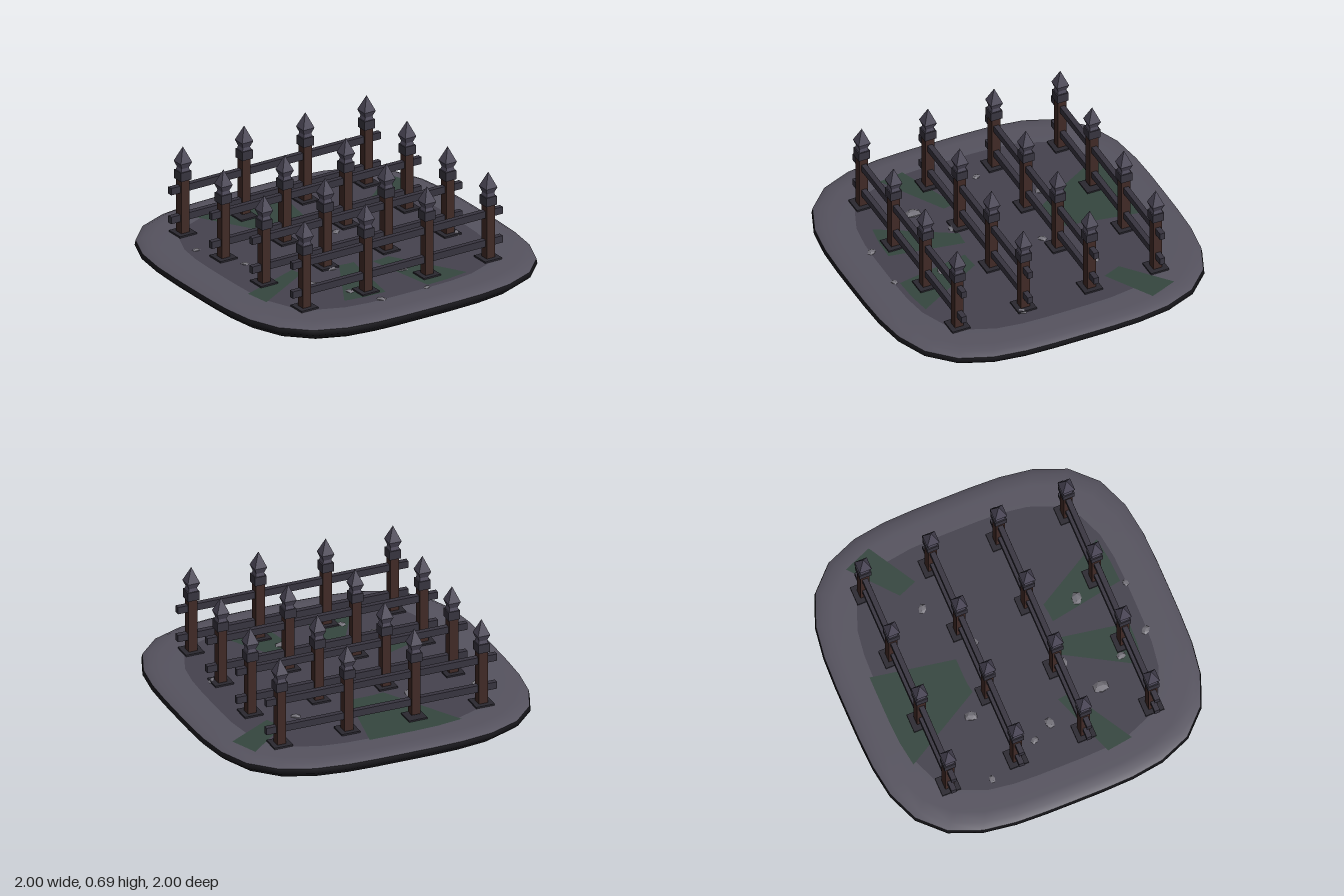
import * as THREE from 'three';
import { mergeVertices } from 'three/addons/utils/BufferGeometryUtils.js';

const GROUND = 0.122;
const mat = (color, flatShading = true) => new THREE.MeshStandardMaterial({ color, flatShading });

// Lathe whose round outline is pushed out to a rounded square
function squareLathe(profile, segments, start = 0, length = Math.PI * 2) {
  const geo = new THREE.LatheGeometry(profile.map(([r, y]) => new THREE.Vector2(r, y)), segments, start, length);
  const p = geo.attributes.position;
  const n = 3.6;
  for (let i = 0; i < p.count; i++) {
    const x = p.getX(i), z = p.getZ(i), r = Math.hypot(x, z);
    if (r < 1e-6) continue;
    const k = Math.pow(Math.abs(x / r) ** n + Math.abs(z / r) ** n, -1 / n);
    p.setXYZ(i, x * k, p.getY(i), z * k);
  }
  geo.deleteAttribute('uv');
  geo.deleteAttribute('normal');
  const merged = mergeVertices(geo, 1e-5);
  merged.computeVertexNormals();
  return merged;
}

export function createModel() {
  const model = new THREE.Group();
  const add = (parent, name, geo, material, x = 0, y = 0, z = 0) => {
    const mesh = new THREE.Mesh(geo, material);
    mesh.name = name;
    mesh.position.set(x, y, z);
    parent.add(mesh);
    return mesh;
  };

  // Ground slab: dark underside, paler rim, darker middle
  const slab = new THREE.Group();
  slab.name = 'groundSlab';
  model.add(slab);
  add(slab, 'slabUnderside', squareLathe([[0, 0], [0.9, 0], [0.955, 0.03], [1, 0.07], [0.995, 0.1]], 36), mat(0x1c1b20, false));
  add(slab, 'slabRim', squareLathe([[0.995, 0.1], [0.96, 0.118], [0.9, GROUND], [0.78, GROUND]], 36), mat(0x56535f, false));
  add(slab, 'slabTop', squareLathe([[0.78, GROUND], [0.4, GROUND], [0, GROUND]], 36), mat(0x45424e, false));

  // Moss streaks fanning out from the middle: start and width in degrees, inner and outer radius
  const moss = mat(0x35463f, false);
  const streaks = [[170, 40, 0.3, 0.8], [120, 10, 0.6, 0.9], [290, 10, 0.4, 0.8], [330, 20, 0.25, 0.7], [10, 20, 0.3, 0.75]];
  for (const [start, width, r0, r1] of streaks) {
    const rad = Math.PI / 180;
    add(slab, 'mossStreak', squareLathe([[r1, GROUND + 0.001], [r0, GROUND + 0.001]], width / 10, start * rad, width * rad), moss);
  }

  // Shared fence parts
  const iron = mat(0x37343f), dark = mat(0x2a2830), wood = mat(0x402a26), stone = mat(0x4b4757);
  const footGeo = new THREE.BoxGeometry(0.115, 0.02, 0.115);
  const postGeo = new THREE.BoxGeometry(0.055, 0.36, 0.055);
  const collarGeo = new THREE.BoxGeometry(0.072, 0.055, 0.072);
  const railGeo = new THREE.BoxGeometry(1.44, 0.043, 0.032);
  const spikeGeo = new THREE.LatheGeometry(
    [[0, 0], [0.042, 0], [0.035, 0.02], [0.054, 0.055], [0, 0.147]].map(([r, y]) => new THREE.Vector2(r, y)),
    4, Math.PI / 4);

  // Four fence rows of four spiked posts, of slightly uneven height
  for (let row = 0; row < 4; row++) {
    const fence = new THREE.Group();
    fence.name = 'fenceRow';
    fence.position.z = -0.635 + row * 0.42;
    model.add(fence);
    for (const y of [0.225, 0.405]) add(fence, 'rail', railGeo, iron, 0, y);

    for (let col = 0; col < 4; col++) {
      const lift = row === 0 && col === 1 ? 0.028 : ((row * 7 + col * 5) % 4) * 0.004;
      const post = new THREE.Group();
      post.name = 'fencePost';
      post.position.x = -0.63 + col * 0.42;
      fence.add(post);
      add(post, 'foot', footGeo, dark, 0, GROUND);
      add(post, 'post', postGeo, wood, 0, 0.3 + lift);
      add(post, 'collar', collarGeo, iron, 0, 0.488 + lift);
      add(post, 'spike', spikeGeo, stone, 0, 0.515 + lift);
    }
  }

  // Scattered pebbles: x, z, radius
  const pebble = mat(0x74727a);
  const pebbleGeo = new THREE.IcosahedronGeometry(1, 0);
  const pebbles = [
    [-0.7, -0.39, 0.025], [-0.3, -0.355, 0.04], [0.41, -0.36, 0.032], [0.11, -0.165, 0.029],
    [-0.575, -0.075, 0.026], [-0.51, 0.045, 0.036], [-0.42, 0.4, 0.05], [0.13, 0.48, 0.042],
    [0.67, 0.235, 0.034], [-0.2, 0.77, 0.031], [0.11, 0.775, 0.023], [-0.29, 0.58, 0.03], [-0.2, 0.26, 0.03],
  ];
  pebbles.forEach(([x, z, r], i) => {
    const mesh = add(model, 'pebble', pebbleGeo, pebble, x, GROUND, z);
    mesh.scale.set(r, r * 0.4, r * 0.8);
    mesh.rotation.y = i * 1.3;
  });

  return model;
}
